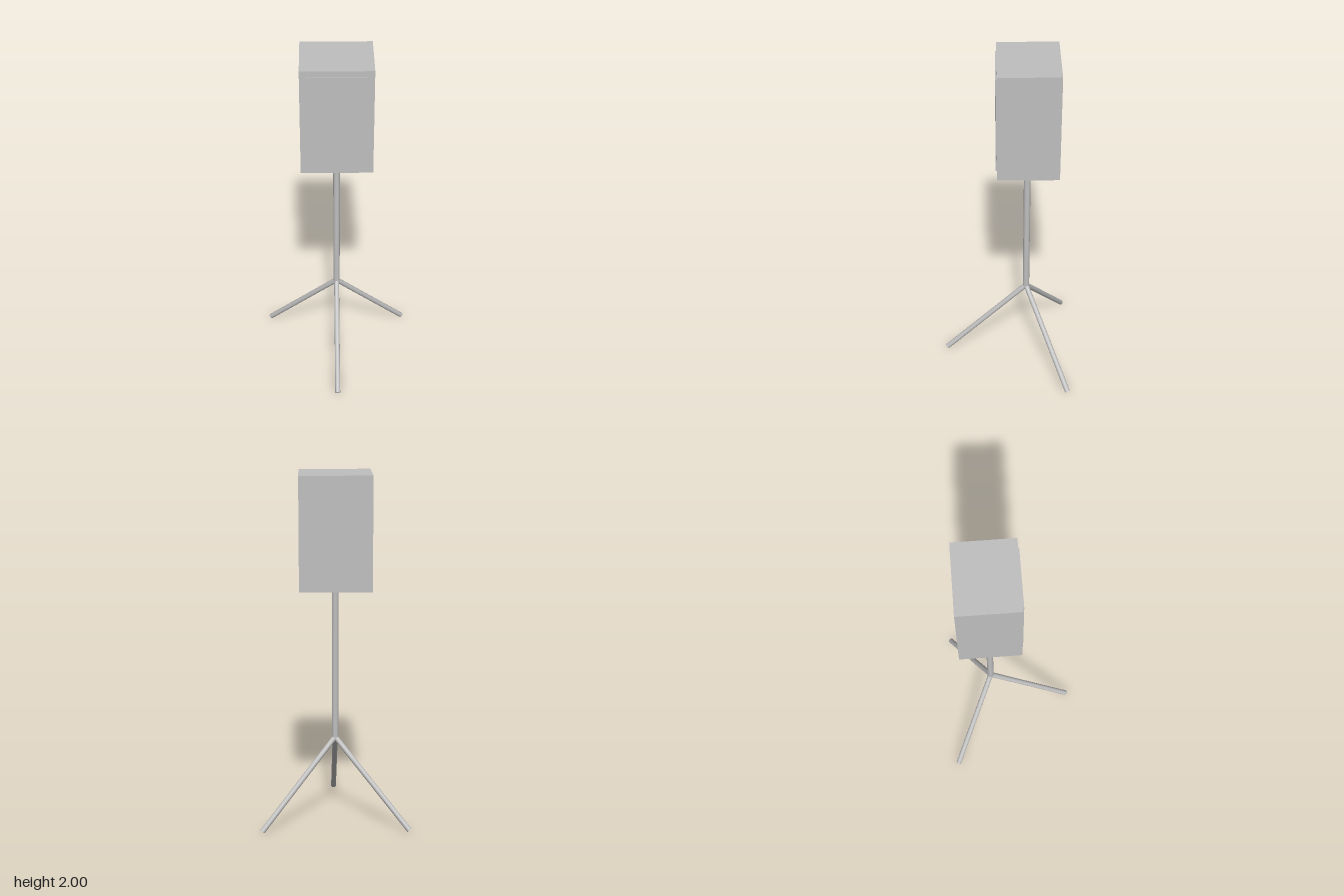
import * as THREE from 'three';

export function createModel() {
  const group = new THREE.Group();
  const grey = new THREE.MeshStandardMaterial({ color: 0xbfbfbf });
  grey.name = 'grey';
  const axisZ = -0.12; // depth of the pole and cabinet centre

  const add = (name, geometry, x, y, z) => {
    const mesh = new THREE.Mesh(geometry, grey);
    mesh.name = name;
    mesh.position.set(x, y, z);
    group.add(mesh);
    return mesh;
  };

  // Round rod between two points
  const rod = (name, from, to, radius) => {
    const dir = to.clone().sub(from);
    const mid = from.clone().add(to).multiplyScalar(0.5);
    const mesh = add(name, new THREE.CylinderGeometry(radius, radius, dir.length(), 24), mid.x, mid.y, mid.z);
    mesh.quaternion.setFromUnitVectors(new THREE.Vector3(0, 1, 0), dir.normalize());
  };

  // Speaker cabinet and its thin front grille
  add('cabinet', new THREE.BoxGeometry(0.4, 0.63, 0.342), 0, 1.685, axisZ);
  add('grille', new THREE.BoxGeometry(0.326, 0.555, 0.008), 0, 1.687, 0.053);

  // Stand pole
  const hub = new THREE.Vector3(0, 0.49, axisZ);
  rod('pole', hub, new THREE.Vector3(0, 1.38, axisZ), 0.019);

  // Three splayed legs, one pointing forward
  ['frontLeg', 'backLeftLeg', 'backRightLeg'].forEach((name, i) => {
    const a = (i * Math.PI * 2) / 3;
    const foot = new THREE.Vector3(Math.sin(a) * 0.479, 0.0105, axisZ + Math.cos(a) * 0.479);
    rod(name, hub, foot, 0.015);
  });

  return group;
}
